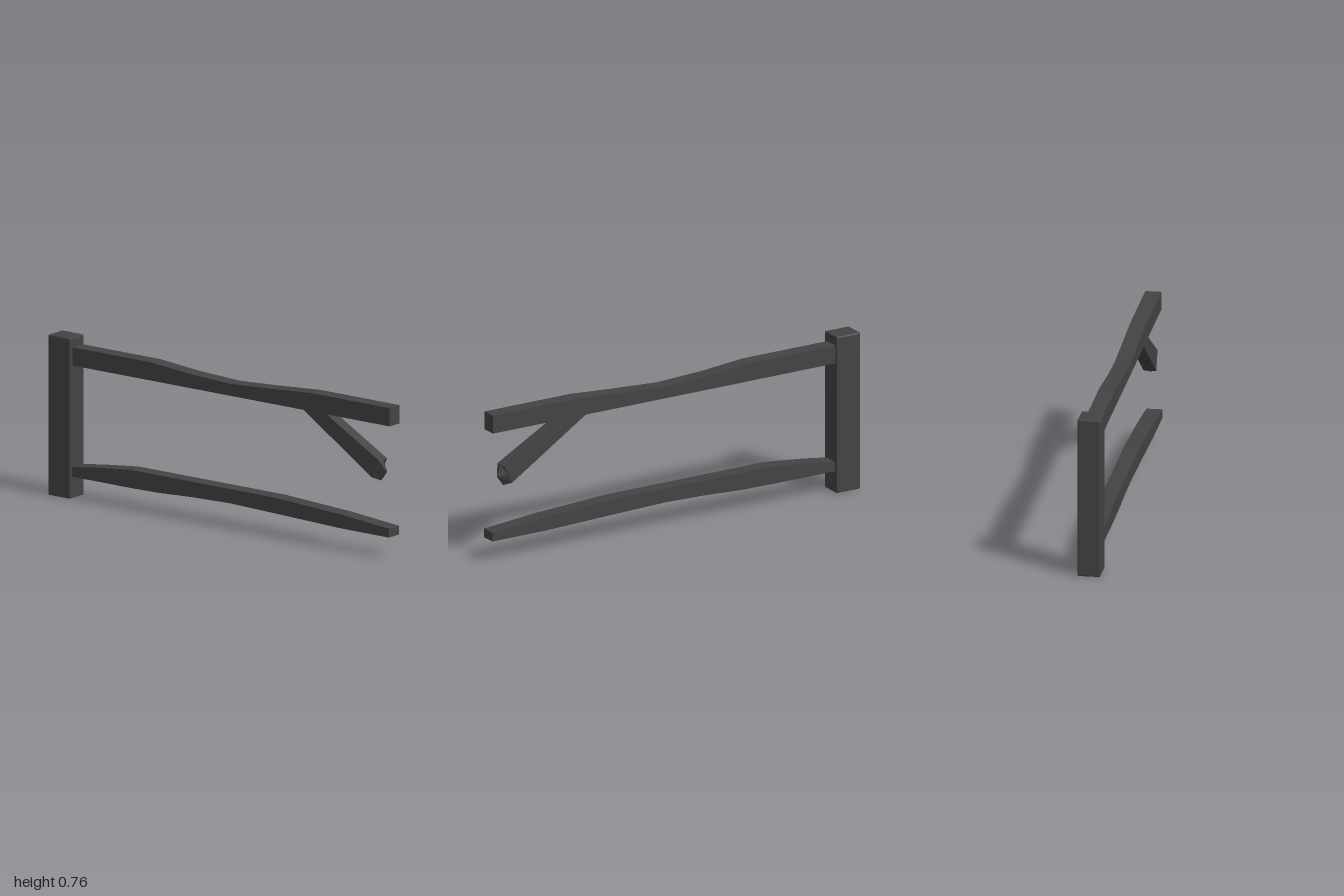
import * as THREE from 'three';
import { RoundedBoxGeometry } from 'three/addons/geometries/RoundedBoxGeometry.js';

const material = new THREE.MeshStandardMaterial({ color: 0x434343, flatShading: true });

// Skin a series of closed rings (counter-clockwise seen from +x) and cap both ends.
function loft(rings) {
  const n = rings[0].length;
  const index = [];
  for (let i = 0; i < rings.length - 1; i++) {
    for (let j = 0; j < n; j++) {
      const k = (j + 1) % n;
      const a = i * n + j, b = i * n + k, c = b + n, d = a + n;
      index.push(a, b, c, a, c, d);
    }
  }
  const last = (rings.length - 1) * n;
  for (let j = 1; j < n - 1; j++) {
    index.push(0, j + 1, j, last, last + j, last + j + 1);
  }
  const indexed = new THREE.BufferGeometry();
  indexed.setAttribute('position', new THREE.Float32BufferAttribute(rings.flat(2), 3));
  indexed.setIndex(index);
  const geometry = indexed.toNonIndexed();
  geometry.computeVertexNormals();
  return geometry;
}

// Rectangular rail from [x, bottom, top] stations between two z planes.
function railGeometry(stations, zBack, zFront) {
  return loft(stations.map(([x, bottom, top]) => [
    [x, bottom, zFront], [x, bottom, zBack], [x, top, zBack], [x, top, zFront],
  ]));
}

// Six-point brace section from bottom, middle and top side-view points.
function braceRing(bottom, middle, top, halfWidth) {
  const back = -0.003 - halfWidth, front = -0.003 + halfWidth;
  return [
    [...bottom, front], [...bottom, back], [...middle, back],
    [...top, back], [...top, front], [...middle, front],
  ];
}

export function createModel() {
  const model = new THREE.Group();
  const add = (name, geometry) => {
    const mesh = new THREE.Mesh(geometry, material);
    mesh.name = name;
    model.add(mesh);
    return mesh;
  };

  // Upright post with small chamfers
  add('post', new RoundedBoxGeometry(0.13, 0.765, 0.107, 1, 0.006))
    .position.set(-0.935, 0.3825, 0);

  // Upper rail, worn down in the middle
  add('upperRail', railGeometry([
    [-0.89, 0.633, 0.72], [-0.41, 0.633, 0.72], [-0.18, 0.633, 0.70],
    [0.06, 0.633, 0.69], [0.29, 0.633, 0.703], [0.53, 0.633, 0.72], [1, 0.633, 0.72],
  ], -0.041, 0.034));

  // Lower rail, bowed up and tapered at the ends
  add('lowerRail', railGeometry([
    [-0.89, 0.104, 0.147], [-0.74, 0.104, 0.168], [-0.53, 0.104, 0.19],
    [-0.37, 0.106, 0.19], [-0.15, 0.117, 0.19], [0.06, 0.122, 0.19],
    [0.33, 0.115, 0.19], [0.72, 0.104, 0.17], [1, 0.104, 0.146],
  ], -0.036, 0.039));

  // Broken brace, ending in a vertical ridge
  add('brokenBrace', loft([
    braceRing([0.45, 0.655], [0.51, 0.658], [0.57, 0.66], 0.03),
    braceRing([0.89, 0.371], [0.91, 0.413], [0.933, 0.457], 0.03),
    braceRing([0.921, 0.356], [0.955, 0.402], [0.934, 0.456], 0.001),
  ]));

  return model;
}
